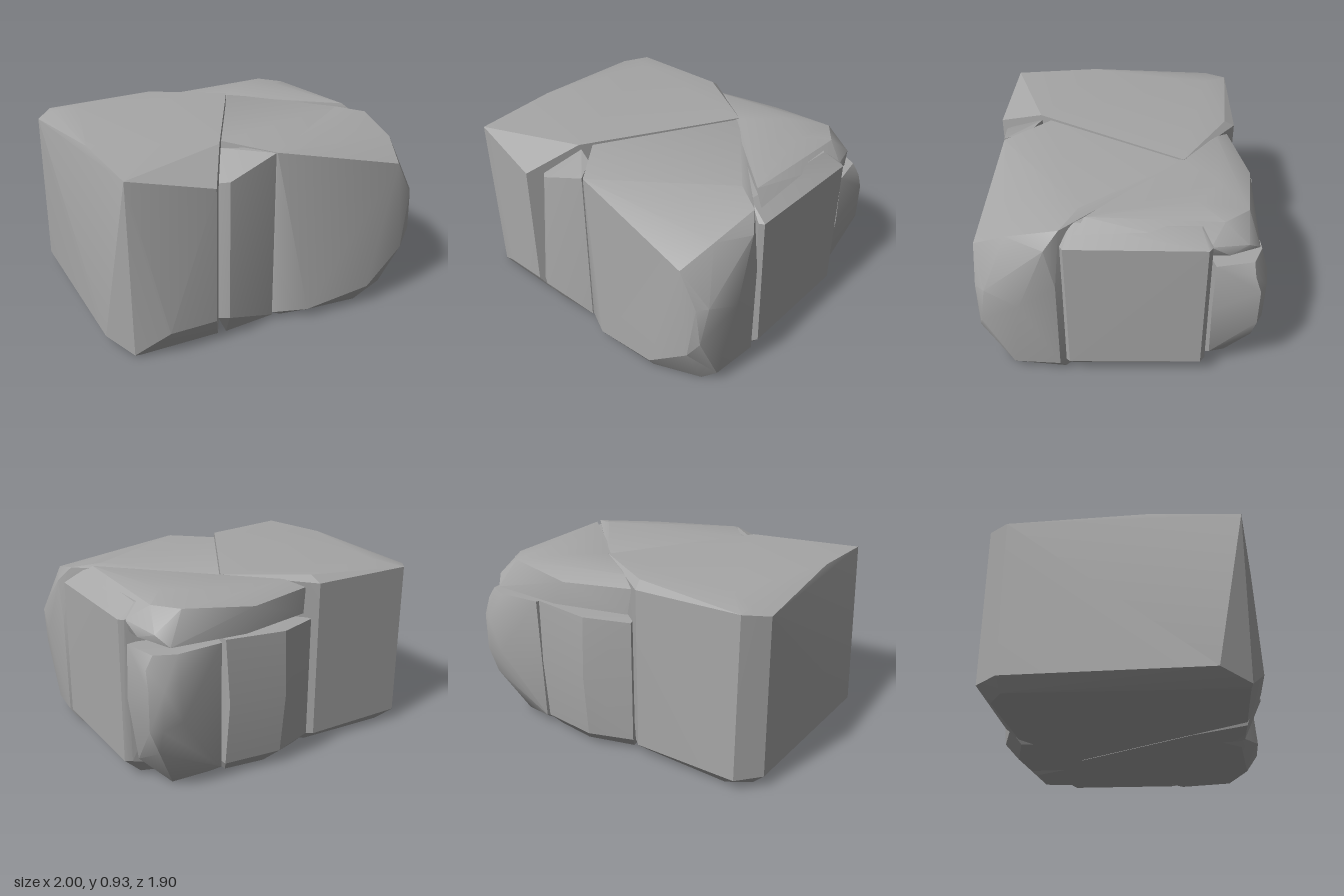
import * as THREE from 'three';
import { ConvexGeometry } from 'three/addons/geometries/ConvexGeometry.js';
import { toCreasedNormals } from 'three/addons/utils/BufferGeometryUtils.js';

// A faceted boulder made of convex stone blocks wedged together along narrow cracks.
export function createModel() {
  const group = new THREE.Group();
  group.name = 'rock';
  const stone = new THREE.MeshStandardMaterial({ color: 0xa6a6a6 });
  stone.name = 'greyStone';

  // One block: the convex hull of its corner points, softened across shallow edges.
  function block(name, corners, crease = 0.45) {
    const hull = new ConvexGeometry(corners.map((c) => new THREE.Vector3(...c)));
    const mesh = new THREE.Mesh(toCreasedNormals(hull, crease), stone);
    mesh.name = name;
    group.add(mesh);
  }

  // Large slab with the long slanting face
  block('largeLeftBlock', [
    [-1, 0.87, 0], [-0.97, 0.89, -0.14], [-0.93, 0.9, -0.06], [-0.8, 0.925, -0.08],
    [-0.48, 0.89, -0.42], [-0.44, 0.925, -0.38], [0.01, 0.925, -0.36], [0.01, 0.925, 0.52],
    [-0.62, 0.92, 0.56], [-0.38, 0.9, 0.95], [0.01, 0.81, 0.8],
    [0.01, 0.12, 0.8], [-0.2, 0.12, 0.92], [-0.52, 0.06, 0.86], [-0.37, 0.01, 0.94],
    [-1, 0.06, 0], [-0.97, 0.06, -0.15], [-0.94, 0, -0.02], [-0.88, 0, -0.14],
    [-0.48, 0.06, -0.42], [-0.44, 0, -0.36], [0.01, 0, -0.3], [0.01, 0, 0.72], [-0.35, 0, 0.92],
  ], 0.3);

  // Narrow wedge in the front notch
  block('frontWedge', [
    [0.015, 0.9, 0.51], [0.14, 0.9, 0.5], [0.28, 0.9, 0.57], [0.07, 0.81, 0.72], [0.015, 0.8, 0.71],
    [0.07, 0.12, 0.77], [0.015, 0.12, 0.77], [0.28, 0.02, 0.57], [0.05, 0, 0.7], [0.015, 0, 0.4], [0.25, 0, 0.4],
  ], 0.3);

  // Rounded block on the model's left
  block('frontRoundedBlock', [
    [0.015, 0.92, -0.36], [0.015, 0.915, 0.45], [0.13, 0.9, 0.5], [0.285, 0.9, 0.565],
    [0.62, 0.925, -0.12], [0.78, 0.9, -0.115], [0.6, 0.9, 0.18], [0.91, 0.75, 0.29],
    [0.88, 0.84, 0.12], [0.86, 0.82, -0.08], [0.84, 0.6, -0.12],
    [0.99, 0.57, 0.24], [1, 0.57, 0.18], [0.95, 0.5, 0.02],
    [1, 0.36, 0.22], [0.96, 0.27, 0.27], [0.78, 0.1, 0.4], [0.93, 0.06, 0.1], [0.84, 0.08, -0.12],
    [0.285, 0.03, 0.565], [0.46, 0.05, 0.56], [0.32, 0, 0.53], [0.72, 0, 0.36],
    [0.88, 0, 0.16], [0.78, 0, -0.11], [0.015, 0, 0.4], [0.015, 0, -0.36],
  ], 0.5);

  // Flat-sided block behind the crack
  block('rearSideBlock', [
    [0.815, 0.83, -0.155], [0.49, 0.83, -0.735], [0.8, 0.83, -0.13], [0.46, 0.83, -0.74],
    [0.82, 0.1, -0.165], [0.49, 0.1, -0.735], [0.8, 0.08, -0.13], [0.45, 0.1, -0.74],
    [0.7, 0.9, -0.13], [0.42, 0.89, -0.66], [0.74, 0, -0.14], [0.42, 0, -0.66],
    [0.1, 0, -0.15], [0.1, 0, -0.6], [0.1, 0.9, -0.15], [0.1, 0.9, -0.6],
  ], 0.5);

  // Overhanging cap at the back
  block('rearCap', [
    [0.25, 0.75, -0.89], [0.4, 0.77, -0.8], [0.32, 0.8, -0.86], [-0.1, 0.74, -0.7], [-0.4, 0.74, -0.43],
    [0.46, 0.83, -0.73], [0.79, 0.83, -0.16], [0.2, 0.9, -0.8], [0.34, 0.9, -0.74],
    [0.1, 0.925, -0.6], [0.3, 0.925, -0.58], [0.66, 0.925, -0.18], [0.02, 0.925, -0.36],
    [-0.14, 0.86, -0.66], [-0.41, 0.87, -0.41], [-0.3, 0.91, -0.4],
    [0, 0.7, -0.3], [0.7, 0.72, -0.18],
  ], 0.5);

  // Flat lower block under the cap
  block('rearLowerBlock', [
    [-0.44, 0.71, -0.43], [0, 0.73, -0.75], [-0.29, 0.72, -0.62], [-0.3, 0.4, -0.635], [-0.02, 0.4, -0.755],
    [-0.44, 0.07, -0.43], [-0.28, 0.07, -0.61], [0, 0.07, -0.73], [-0.38, 0, -0.4], [-0.2, 0, -0.58],
    [0, 0, -0.66], [0.2, 0, -0.3], [-0.3, 0, -0.3], [0.2, 0.72, -0.3], [-0.3, 0.72, -0.3],
  ], 0.35);

  // Rounded corner stone at the very back
  block('rearCornerStone', [
    [0.45, 0.72, -0.76], [0.33, 0.72, -0.9], [0.22, 0.72, -0.89], [0.02, 0.72, -0.76],
    [0.36, 0.66, -0.925], [0.35, 0.57, -0.955], [0.28, 0.57, -0.955], [0.21, 0.6, -0.925],
    [0.35, 0.37, -0.955], [0.29, 0.37, -0.955], [0.2, 0.4, -0.92], [0.46, 0.45, -0.76],
    [0.31, 0.24, -0.92], [0.42, 0.12, -0.75], [0.26, 0, -0.77], [0.02, 0.06, -0.74],
    [0.08, 0, -0.68], [0.36, 0, -0.64], [0.1, 0, -0.4], [0.1, 0.7, -0.4],
  ], 0.6);

  return group;
}
